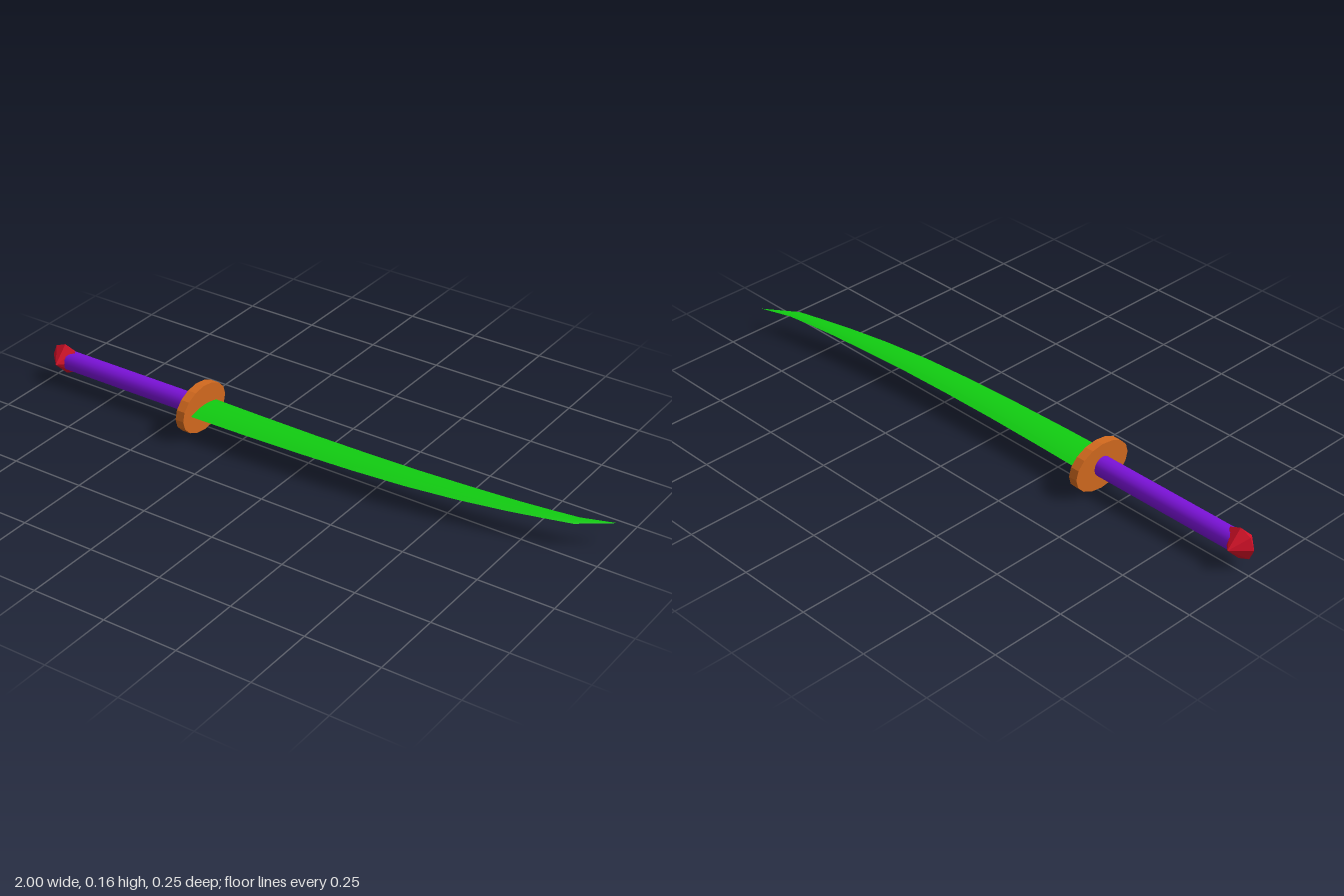
import * as THREE from 'three';

const Y = 0.078, Z = 0.0165; // hilt axis

function part(name, geometry, color, flatShading = false) {
  const mesh = new THREE.Mesh(geometry, new THREE.MeshStandardMaterial({ color, flatShading }));
  mesh.name = name;
  return mesh;
}

// Curved blade: lens sections lofted along x, smooth faces meeting at sharp edges
function bladeGeometry() {
  // x, back edge z, cutting edge z, half thickness
  const sections = [
    [-0.4, -0.047, 0.086, 0.011], [-0.2, -0.043, 0.083, 0.011], [0, -0.041, 0.077, 0.011],
    [0.2, -0.043, 0.067, 0.01], [0.38, -0.048, 0.052, 0.009], [0.55, -0.058, 0.028, 0.0075],
    [0.7, -0.069, -0.002, 0.006], [0.8, -0.08, -0.027, 0.005], [0.89, -0.092, -0.051, 0.004],
    [0.995, -0.127, -0.127, 0],
  ];
  const steps = 8, row = steps + 1, positions = [], index = [];
  for (const side of [1, -1]) {
    const start = positions.length / 3;
    for (const [x, back, edge, thick] of sections) {
      for (let j = 0; j <= steps; j++) {
        const u = j / steps;
        positions.push(x, Y + side * thick * (1 - (2 * u - 1) ** 2), back + (edge - back) * u);
      }
    }
    for (let i = 0; i < sections.length - 1; i++) {
      for (let j = 0; j < steps; j++) {
        const a = start + i * row + j, b = a + 1, c = a + row, d = c + 1;
        if (side > 0) index.push(a, b, c, b, d, c);
        else index.push(a, c, b, b, c, d);
      }
    }
  }
  const geometry = new THREE.BufferGeometry();
  geometry.setAttribute('position', new THREE.Float32BufferAttribute(positions, 3));
  geometry.setIndex(index);
  geometry.computeVertexNormals();
  return geometry;
}

export function createModel() {
  const sword = new THREE.Group();
  sword.name = 'curvedSword';

  // Blade
  sword.add(part('blade', bladeGeometry(), 0x11cc11));

  // Oval guard
  const guardShape = new THREE.CylinderGeometry(1, 1, 0.03, 16).rotateZ(Math.PI / 2);
  guardShape.scale(1, 0.078, 0.11);
  const guard = part('guard', guardShape, 0xd2691e, true);
  guard.position.set(-0.4, Y, Z);
  sword.add(guard);

  // Round grip
  const grip = part('grip', new THREE.CylinderGeometry(0.033, 0.033, 0.55, 16).rotateZ(Math.PI / 2), 0x7b12d8);
  grip.position.set(-0.675, Y, Z);
  sword.add(grip);

  // Faceted pommel: two eight-sided cones base to base along z
  const pommel = part('pommel', new THREE.SphereGeometry(0.053, 8, 2).rotateX(Math.PI / 2), 0xd81028, true);
  pommel.position.set(-0.947, Y + 0.001, Z);
  sword.add(pommel);

  return sword;
}
